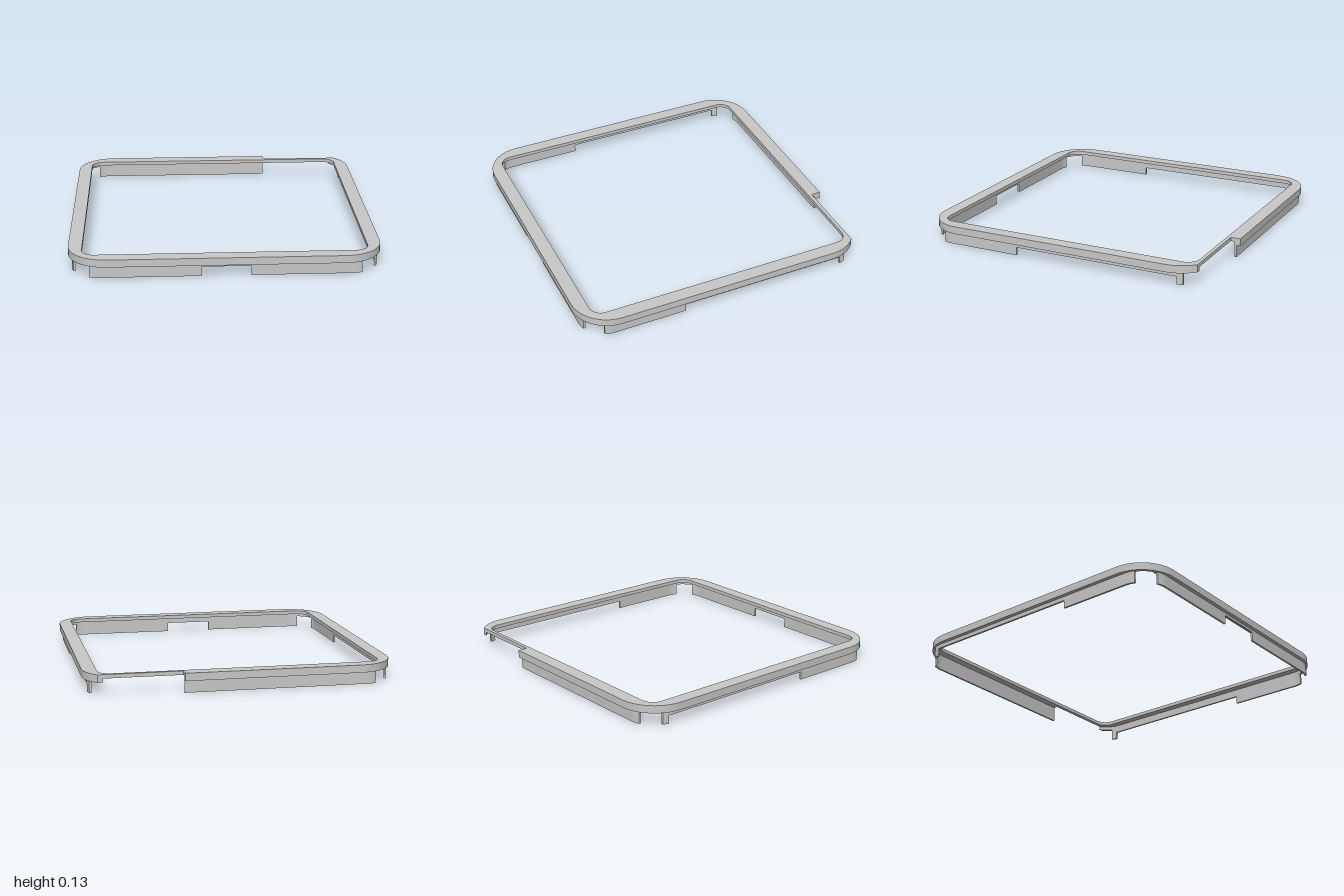
import * as THREE from 'three';
import { toCreasedNormals } from 'three/addons/utils/BufferGeometryUtils.js';

const TOP = 0.13, LIP = 0.105, RIM = 0.08;      // heights of the stepped frame
const NOTCH_X = 0.383, NOTCH_Z = 0.935;         // cut-out in the back edge
const SKIRT_C = 0.795, SKIRT_R = 0.18, WALL = 0.013;

// Shapes are drawn as (x, -z) and extruded upwards
function slab(points, y0, y1, hole) {
  const shape = new THREE.Shape(points);
  if (hole) shape.holes.push(new THREE.Path(hole));
  const g = new THREE.ExtrudeGeometry(shape, { depth: y1 - y0, bevelEnabled: false });
  g.rotateX(-Math.PI / 2).translate(0, y0, 0);
  return toCreasedNormals(g, 0.5);
}

// Rounded square outline, clockwise from startAngle in the back right corner
function outline(c, r, startAngle) {
  const pts = [];
  const signs = [[1, 1], [1, -1], [-1, -1], [-1, 1]];
  signs.forEach(([sx, sy], k) => {
    const from = k === 0 ? startAngle : (1 - k) * Math.PI / 2;
    const to = -k * Math.PI / 2;
    for (let i = 0; i <= 14; i++) {
      const a = from + (to - from) * i / 14;
      pts.push(new THREE.Vector2(sx * c + r * Math.cos(a), sy * c + r * Math.sin(a)));
    }
  });
  return pts;
}

// The same outline, cut open at the notch
function notched(c, r) {
  const pts = outline(c, r, Math.asin((NOTCH_Z - c) / r));
  pts.push(new THREE.Vector2(NOTCH_X, c + r));
  return pts;
}

// One edge of a skirt wall: straight, bending inwards near the corners
function wallEdge(r, u0, u1) {
  const us = [u0];
  for (let i = -8; i <= 8; i++) {
    const u = Math.sign(i) * (SKIRT_C + (Math.abs(i) - 1) * 0.01);
    if (i !== 0 && u > u0 + 1e-4 && u < u1 - 1e-4) us.push(u);
  }
  us.push(u1);
  return us.map((u) => {
    const d = Math.max(0, Math.abs(u) - SKIRT_C);
    return [u, SKIRT_C + Math.sqrt(r * r - d * d)];
  });
}

export function createModel() {
  const group = new THREE.Group();
  const grey = new THREE.MeshStandardMaterial({ color: 0xc8c8c8 });
  grey.name = 'grey plastic';
  const add = (name, geometry) => {
    const mesh = new THREE.Mesh(geometry, grey);
    mesh.name = name;
    group.add(mesh);
  };

  // Flat top lip with a rounded square opening, wound against the outline
  const outer = notched(0.75, 0.25);
  const opening = outline(0.83, 0.08, Math.PI / 2).reverse();
  add('topLip', slab([...outer, new THREE.Vector2(NOTCH_X, NOTCH_Z)], LIP, TOP, opening));

  // Thicker outer rim below the lip, open at the notch
  const rimInner = notched(SKIRT_C, SKIRT_R - WALL).reverse();
  add('outerRim', slab([...outer, ...rimInner], RIM, LIP));

  // Skirt walls: [start, end, bottom] along each side
  const place = {
    front: (u, v) => [u, -v],
    back: (u, v) => [u, v],
    left: (u, v) => [v, -u],
    right: (u, v) => [-v, -u],
  };
  const sidePieces = [[0.307, 0.86, 0], [-0.82, 0.307, 0.053], [-0.86, -0.82, 0]];
  const pieces = {
    front: [[-0.86, -0.157, 0], [-0.157, 0.157, 0.063], [0.157, 0.86, 0]],
    back: [[-0.86, NOTCH_X, 0]],
    left: sidePieces,
    right: sidePieces,
  };
  for (const side in pieces) {
    pieces[side].forEach(([u0, u1, bottom], i) => {
      const edge = [
        ...wallEdge(SKIRT_R, u0, u1),
        ...wallEdge(SKIRT_R - WALL, u0, u1).reverse(),
      ];
      const pts = edge.map(([u, v]) => new THREE.Vector2(...place[side](u, v)));
      add(`${side}Skirt${i + 1}`, slab(pts, bottom, RIM));
    });
  }
  return group;
}
